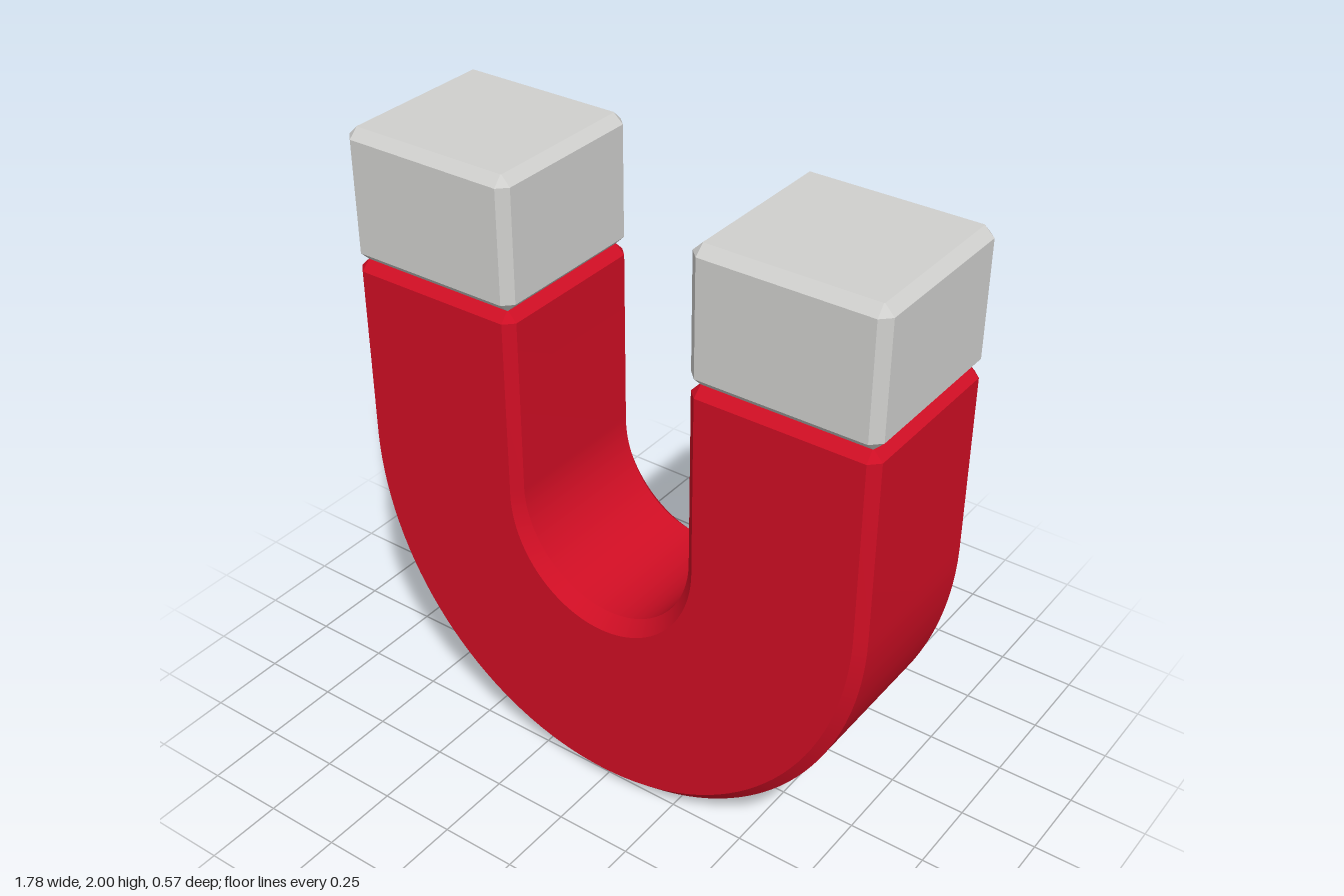
import * as THREE from 'three';
import { toCreasedNormals } from 'three/addons/utils/BufferGeometryUtils.js';

const INNER = 0.3, OUTER = 0.89, DEPTH = 0.283, BEVEL = 0.03;
const BEND_Y = 0.98, STRETCH = 1.1, JOINT_Y = 1.58, TOP_Y = 2;

// One chamfered rectangular cross-section between an inner and an outer point
function section(inner, outer, chamfer, inset = 0) {
  const dir = outer.clone().sub(inner);
  const half = dir.length() / 2 - inset, deep = DEPTH - inset;
  const mid = inner.clone().add(outer).multiplyScalar(0.5);
  dir.normalize();
  const c = chamfer;
  return [
    [half, -deep + c], [half, deep - c], [half - c, deep], [-half + c, deep],
    [-half, deep - c], [-half, -deep + c], [-half + c, -deep], [half - c, -deep],
  ].map(([u, z]) => new THREE.Vector3(mid.x + dir.x * u, mid.y + dir.y * u, z));
}

// Skin a row of cross-sections and close both ends
function loft(rings) {
  const n = rings[0].length, index = [], last = (rings.length - 1) * n;
  for (let r = 0; r < rings.length - 1; r++) {
    for (let k = 0; k < n; k++) {
      const a = r * n + k, b = r * n + (k + 1) % n;
      index.push(a, b, a + n, b, b + n, a + n);
    }
  }
  for (let k = 1; k < n - 1; k++) {
    index.push(0, k + 1, k, last, last + k, last + k + 1);
  }
  const geometry = new THREE.BufferGeometry().setFromPoints(rings.flat());
  geometry.setIndex(index);
  return toCreasedNormals(geometry, Math.PI / 6);
}

// Horizontal section across one leg; side is +1 or -1
function legSection(side, y, end) {
  return section(
    new THREE.Vector3(side * INNER, y, 0), new THREE.Vector3(side * OUTER, y, 0),
    end ? 0.002 : BEVEL, end ? BEVEL : 0);
}

function bodyGeometry() {
  const rings = [legSection(1, JOINT_Y, true), legSection(1, JOINT_Y - BEVEL, false)];
  const steps = 64;
  for (let i = 0; i <= steps; i++) {
    const a = Math.PI * i / steps;
    const at = (r) => new THREE.Vector3(r * Math.cos(a), BEND_Y - r * STRETCH * Math.sin(a), 0);
    // the chamfer widens slightly toward the bottom of the bend
    rings.push(section(at(INNER), at(OUTER), BEVEL + 0.012 * Math.sin(a)));
  }
  rings.push(legSection(-1, JOINT_Y - BEVEL, false), legSection(-1, JOINT_Y, true));
  return loft(rings);
}

function tipGeometry() {
  return loft([
    legSection(1, TOP_Y, true), legSection(1, TOP_Y - BEVEL, false),
    legSection(1, JOINT_Y + BEVEL, false), legSection(1, JOINT_Y, true),
  ]);
}

export function createModel() {
  const red = new THREE.MeshStandardMaterial({ color: 0xd00e24 });
  red.name = 'red paint';
  const grey = new THREE.MeshStandardMaterial({ color: 0xd0d0ce });
  grey.name = 'light grey steel';

  const magnet = new THREE.Group();
  magnet.name = 'horseshoeMagnet';

  // U-shaped body
  const body = new THREE.Mesh(bodyGeometry(), red);
  body.name = 'body';
  magnet.add(body);

  // Pole tips; the right one is the left one turned half way round
  const tip = tipGeometry();
  for (const [name, turn] of [['leftTip', 0], ['rightTip', Math.PI]]) {
    const mesh = new THREE.Mesh(tip, grey);
    mesh.name = name;
    mesh.rotation.y = turn;
    magnet.add(mesh);
  }
  return magnet;
}
